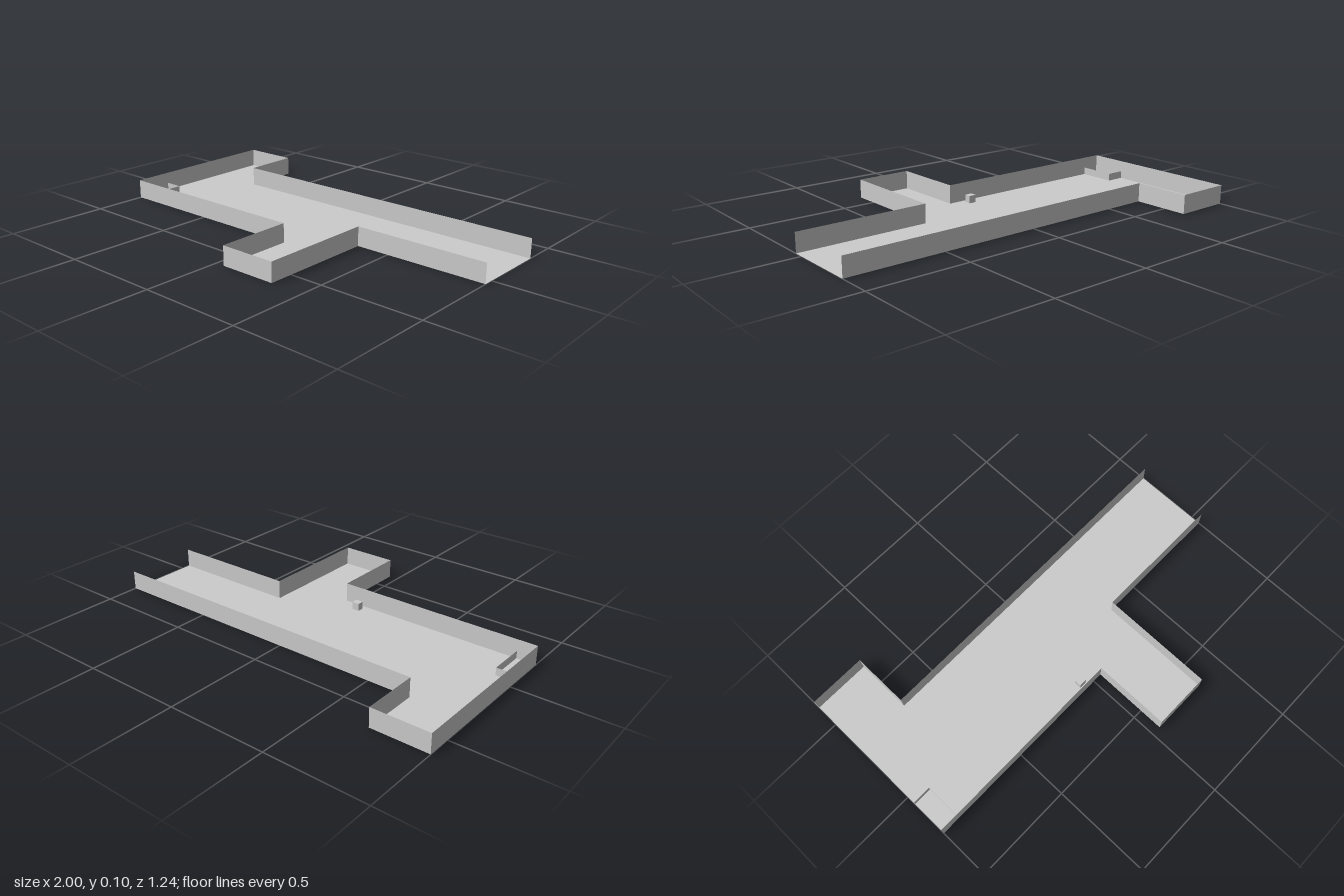
import * as THREE from 'three';

const U = 2 / 21; // plan module
const WALL_H = U;
const LOW_H = 0.4 * U;

export function createModel() {
  const model = new THREE.Group();
  const material = new THREE.MeshStandardMaterial({
    color: 0xcccccc, flatShading: true, side: THREE.DoubleSide,
  });

  const add = (name, geometry) => {
    const mesh = new THREE.Mesh(geometry, material);
    mesh.name = name;
    model.add(mesh);
    return mesh;
  };

  // Thin upright panel between two plan points [x, z]
  const addPanel = (name, [x1, z1], [x2, z2], height) => {
    const panel = add(name, new THREE.PlaneGeometry(Math.hypot(x2 - x1, z2 - z1), height));
    panel.position.set((x1 + x2) / 2, height / 2, (z1 + z2) / 2);
    panel.rotation.y = -Math.atan2(z2 - z1, x2 - x1);
  };

  // Room outline in modules, running from one side of the open end to the other
  const outline = [
    [10.5, -3.5], [-7.5, -3.5], [-7.5, -6.5], [-10.5, -6.5], [-10.5, 2.5],
    [0.5, 2.5], [0.5, 6.5], [3.5, 6.5], [3.5, 0.5], [10.5, 0.5],
  ].map(([x, z]) => [x * U, z * U]);

  // Floor
  const shape = new THREE.Shape(outline.map(([x, z]) => new THREE.Vector2(x, -z)));
  add('floor', new THREE.ShapeGeometry(shape).rotateX(-Math.PI / 2));

  // Walls; the +x end stays open
  for (let i = 0; i < outline.length - 1; i++) {
    addPanel('wall', outline[i], outline[i + 1], WALL_H);
  }

  // Low partition around the front corner
  const corner = [-9.5 * U, 0.5 * U];
  addPanel('lowPartition', [-10.5 * U, 0.5 * U], corner, LOW_H);
  addPanel('lowPartition', corner, [-9.5 * U, 2.5 * U], LOW_H);

  // Small block by the front wall
  const block = add('block', new THREE.BoxGeometry(0.038, 0.038, 0.034));
  block.position.set(-0.05, 0.019, 0.197);

  return model;
}
